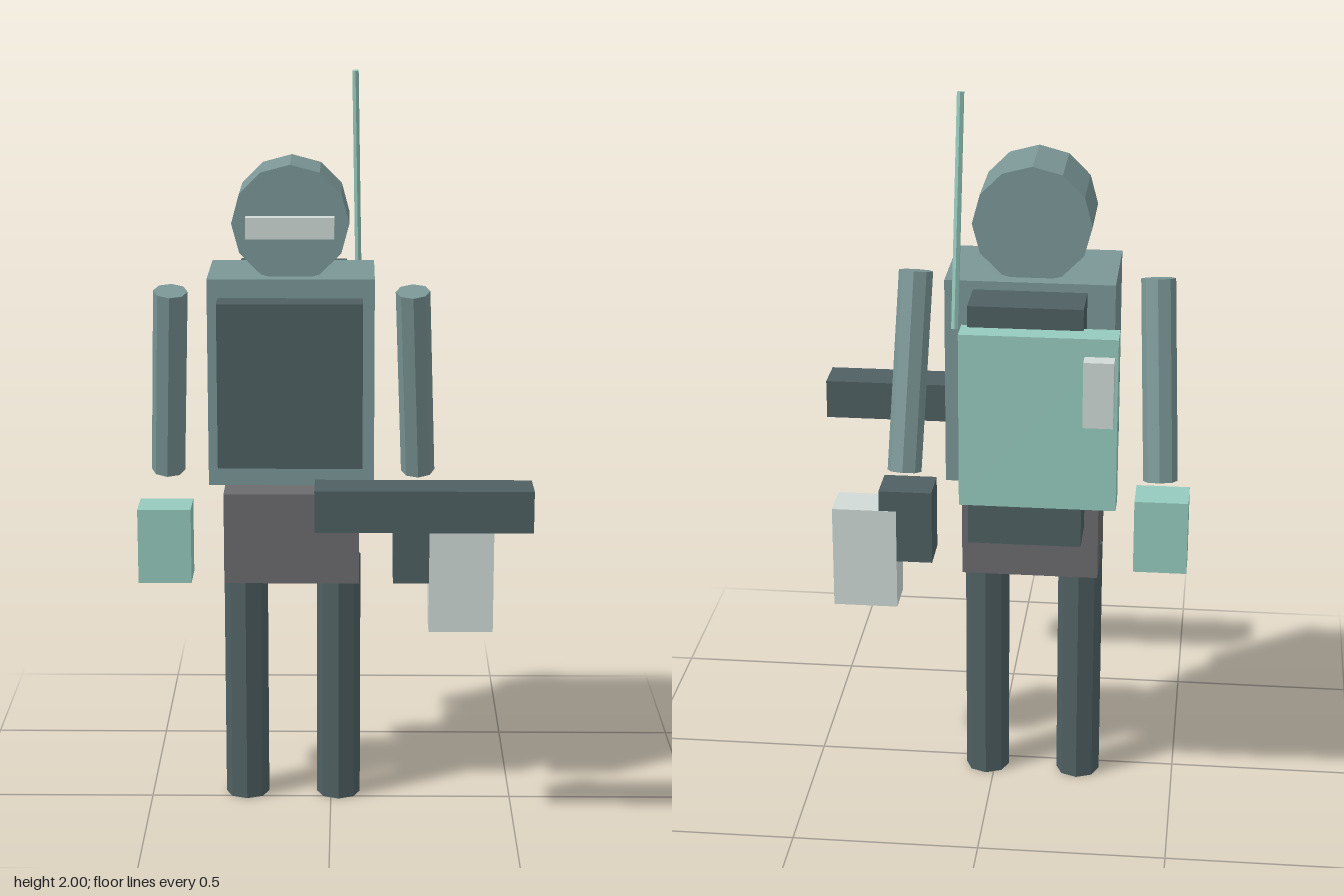
import * as THREE from 'three';

const mat = (color) => new THREE.MeshStandardMaterial({ color, flatShading: true });

export function createModel() {
  const model = new THREE.Group();
  model.name = 'soldier';

  const slate = mat(0x7b9696);
  const dark = mat(0x4f6063);
  const grey = mat(0x6c6c6e);
  const mint = mat(0x96cabe);
  const pale = mat(0xd0dad6);

  const add = (name, geometry, material) => {
    const mesh = new THREE.Mesh(geometry, material);
    mesh.name = name;
    model.add(mesh);
    return mesh;
  };

  // Box given by its lower and upper corner
  const box = (name, material, [x0, y0, z0], [x1, y1, z1]) =>
    add(name, new THREE.BoxGeometry(x1 - x0, y1 - y0, z1 - z0), material)
      .position.set((x0 + x1) / 2, (y0 + y1) / 2, (z0 + z1) / 2);

  // Faceted rod between two points
  const rod = (name, material, from, to, radius, sides) => {
    const a = new THREE.Vector3(...from);
    const b = new THREE.Vector3(...to);
    const dir = b.clone().sub(a);
    const mesh = add(name, new THREE.CylinderGeometry(radius, radius, dir.length(), sides), material);
    mesh.position.copy(a).add(b).multiplyScalar(0.5);
    mesh.quaternion.setFromUnitVectors(new THREE.Vector3(0, 1, 0), dir.normalize());
  };

  // Body
  box('torso', slate, [-0.325, 0.932, -0.19], [0.116, 1.49, 0.104]);
  box('chestPlate', dark, [-0.296, 1.0, 0.09], [0.085, 1.44, 0.188]);
  box('pelvis', grey, [-0.288, 0.65, -0.16], [0.077, 0.9, 0.08]);

  // Head is a short drum facing forward, with a visor in front of it
  const head = add('head', new THREE.CylinderGeometry(0.155, 0.155, 0.212, 12), slate);
  head.rotation.x = Math.PI / 2;
  head.position.set(-0.106, 1.63, -0.043);
  box('visor', pale, [-0.221, 1.602, 0.11], [0.01, 1.658, 0.141]);

  // Limbs
  for (const [side, x] of [['right', -0.234], ['left', 0.021]])
    rod(side + 'Leg', dark, [x, 0, -0.04], [x, 0.7, -0.04], 0.06, 8);
  for (const [side, top, bottom] of [['right', -0.426, -0.449], ['left', 0.218, 0.238]])
    rod(side + 'Arm', slate, [bottom, 0.92, -0.109], [top, 1.443, 0.022], 0.046, 8);

  // Hands and carried items
  box('rightHand', mint, [-0.525, 0.636, -0.08], [-0.38, 0.843, 0.035]);
  box('leftHand', dark, [0.17, 0.636, -0.08], [0.315, 0.843, 0.035]);
  box('heldCase', pale, [0.268, 0.498, -0.081], [0.444, 0.785, 0.036]);
  box('rifle', dark, [-0.038, 0.895, 0.316], [0.521, 1.005, 0.429]);

  // Backpack, radio and antenna
  box('backpack', dark, [-0.253, 0.818, -0.33], [0.041, 1.47, -0.198]);
  box('radio', mint, [-0.345, 0.95, -0.388], [0.058, 1.414, -0.313]);
  box('radioHandset', pale, [-0.337, 1.193, -0.432], [-0.26, 1.367, -0.383]);
  rod('antenna', mint, [0.074, 1.405, -0.318], [0.064, 1.999, -0.247], 0.01, 6);

  return model;
}
